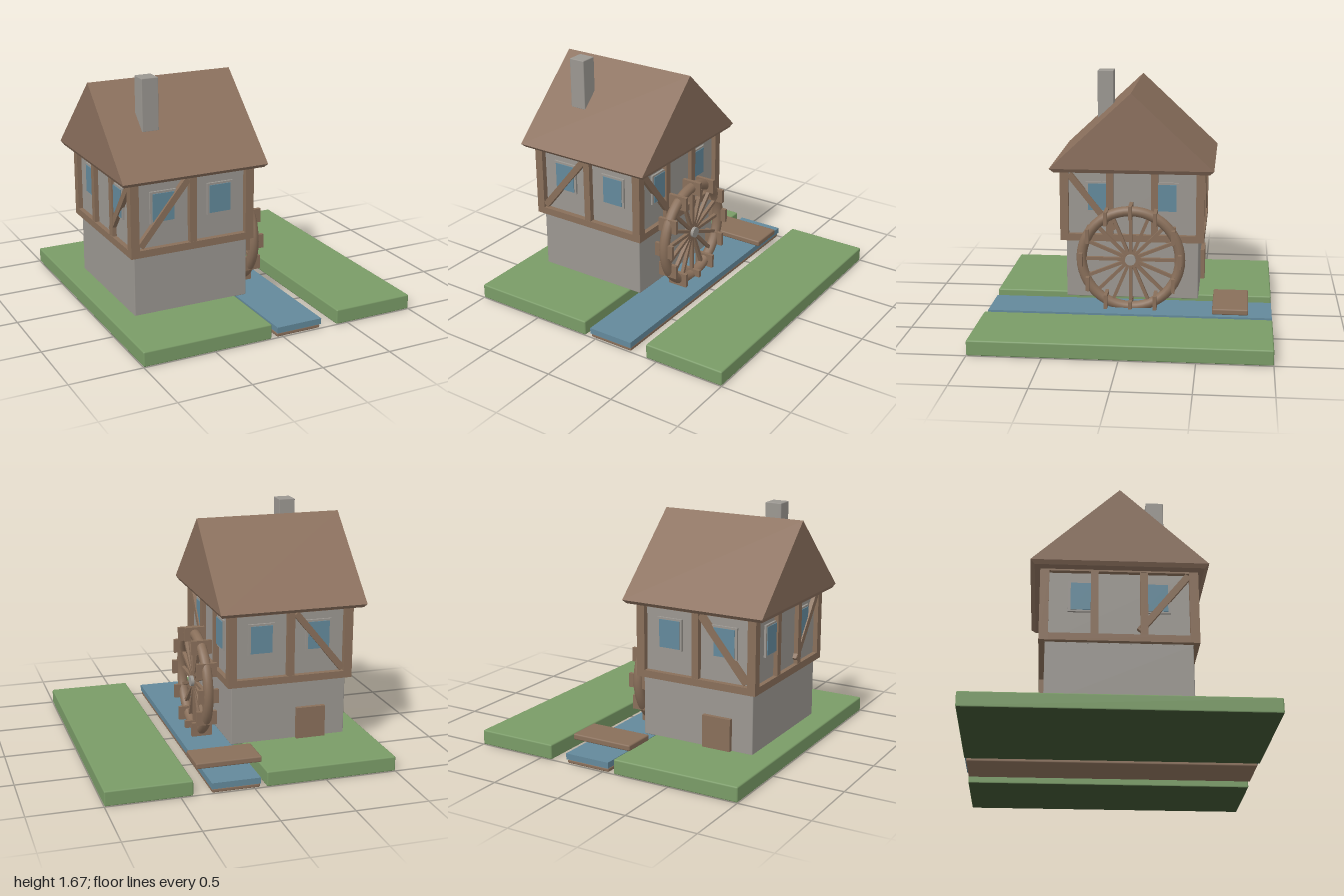
import * as THREE from 'three';
import { RoundedBoxGeometry } from 'three/addons/geometries/RoundedBoxGeometry.js';

const mat = (name, color) => {
  const m = new THREE.MeshStandardMaterial({ color });
  m.name = name;
  return m;
};

export function createModel() {
  const grass = mat('grass', 0x7a9c67);
  const soil = mat('darkUnderside', 0x405333);
  const stone = mat('stone', 0x9b9791);
  const wood = mat('wood', 0x896f5a);
  const roofMat = mat('roof', 0x8b705d);
  const blue = mat('waterBlue', 0x63899b);

  const model = new THREE.Group();
  model.name = 'watermill';

  const add = (parent, name, geometry, material) => {
    const mesh = new THREE.Mesh(geometry, material);
    mesh.name = name;
    parent.add(mesh);
    return mesh;
  };
  // box from its min and max corners, optionally with softened edges
  const box = (parent, name, material, [x0, x1], [y0, y1], [z0, z1], r = 0) => {
    const size = [x1 - x0, y1 - y0, z1 - z0];
    const g = r ? new RoundedBoxGeometry(...size, 1, r) : new THREE.BoxGeometry(...size);
    const mesh = add(parent, name, g, material);
    mesh.position.set((x0 + x1) / 2, (y0 + y1) / 2, (z0 + z1) / 2);
    return mesh;
  };

  // ground and stream; the banks are dark underneath
  const bankFaces = [grass, grass, grass, soil, grass, grass];
  box(model, 'leftBank', bankFaces, [-1, -0.085], [0, 0.105], [-1, 1], 0.01);
  box(model, 'rightBank', bankFaces, [0.415, 1], [0, 0.105], [-1, 1], 0.01);
  box(model, 'streamBed', wood, [-0.04, 0.288], [0, 0.027], [-0.99, 0.99], 0.008);
  box(model, 'water', blue, [-0.042, 0.292], [0.03, 0.072], [-1, 1]);
  box(model, 'footbridge', wood, [-0.105, 0.35], [0.105, 0.147], [-0.835, -0.585], 0.01);

  // house body
  box(model, 'stoneBase', stone, [-0.834, 0], [0.1, 0.525], [-0.475, 0.475], 0.006);
  box(model, 'upperWalls', stone, [-0.834, 0], [0.52, 1.04], [-0.475, 0.475]);
  box(model, 'door', wood, [-0.68, -0.47], [0.1, 0.33], [-0.505, -0.47]);
  for (const x of [-0.837, 0.003]) {
    for (const z of [-0.485, 0.485]) {
      box(model, 'cornerPost', wood, [x - 0.03, x + 0.03], [0.525, 1.04], [z - 0.03, z + 0.03]);
    }
  }

  // timber framing of one wall: local x runs along the wall, local z points outward,
  // face is the distance of the plaster and out that of the timbers
  const wall = (name, angle, half, face, out, posts, windows, [ax, ay], [bx, by]) => {
    const g = new THREE.Group();
    g.name = name;
    g.position.x = -0.417;
    g.rotation.y = angle;
    model.add(g);
    const inner = half - 0.06;
    box(g, 'sillBeam', wood, [-inner, inner], [0.525, 0.575], [out - 0.06, out]);
    box(g, 'topBeam', wood, [-inner, inner], [1.023, 1.045], [out - 0.06, out]);
    for (const x of posts) {
      box(g, 'post', wood, [x - 0.025, x + 0.025], [0.575, 1.03], [out - 0.055, out - 0.002]);
    }
    for (const x of windows) {
      box(g, 'windowFrame', stone, [x - 0.094, x + 0.094], [0.738, 0.957], [face - 0.02, face + 0.015]);
      box(g, 'windowGlass', blue, [x - 0.077, x + 0.077], [0.75, 0.943], [face + 0.013, face + 0.02]);
    }
    const length = Math.hypot(bx - ax, by - ay);
    const brace = add(g, 'brace', new THREE.BoxGeometry(length, 0.045, 0.04), wood);
    brace.position.set((ax + bx) / 2, (ay + by) / 2, out - 0.024);
    brace.rotation.z = Math.atan2(by - ay, bx - ax);
  };
  wall('frontWall', 0, 0.45, 0.475, 0.515, [0], [-0.207, 0.207], [-0.38, 0.595], [-0.035, 1.015]);
  wall('backWall', Math.PI, 0.45, 0.475, 0.515, [0], [-0.207, 0.207], [0.38, 0.595], [0.035, 1.015]);
  wall('leftWall', Math.PI / 2, 0.515, 0.417, 0.45, [-0.16, 0.16], [-0.238, 0.238], [-0.45, 1.01], [-0.13, 0.605]);
  wall('rightWall', -Math.PI / 2, 0.515, 0.417, 0.45, [-0.16, 0.16], [-0.238, 0.238], [0.45, 1.01], [0.13, 0.605]);

  // gabled roof, extruded along x, over a soffit that tapers downward
  const gable = new THREE.Shape([[-0.58, 1.062], [0.58, 1.062], [0, 1.605]].map((p) => new THREE.Vector2(...p)));
  const roofGeo = new THREE.ExtrudeGeometry(gable, { depth: 1.045, bevelEnabled: false });
  roofGeo.rotateY(Math.PI / 2);
  add(model, 'roof', roofGeo, roofMat).position.x = -0.94;
  const soffit = box(model, 'soffit', roofMat, [-0.94, 0.105], [1.035, 1.062], [-0.58, 0.58]);
  const pos = soffit.geometry.attributes.position;
  for (let i = 0; i < pos.count; i++) {
    if (pos.getY(i) < 0) pos.setXYZ(i, pos.getX(i) * 0.97, pos.getY(i), pos.getZ(i) * 0.95);
  }
  soffit.geometry.computeVertexNormals();
  box(model, 'chimney', stone, [-0.687, -0.567], [1.31, 1.67], [0.192, 0.312], 0.006);

  // water wheel, turning about the x axis
  const wheel = new THREE.Group();
  wheel.name = 'waterWheel';
  wheel.position.set(0.125, 0.425, 0);
  model.add(wheel);
  add(wheel, 'rim', new THREE.TorusGeometry(0.35, 0.037, 12, 48), wood).rotation.y = Math.PI / 2;
  const hub = add(wheel, 'hub', new THREE.CylinderGeometry(0.038, 0.038, 0.07, 20), stone);
  hub.rotation.z = Math.PI / 2;
  for (let i = 0; i < 16; i++) {
    const a = (i / 16) * Math.PI * 2;
    const spoke = add(wheel, 'spoke', new THREE.BoxGeometry(0.025, 0.33, 0.023), wood);
    spoke.position.set(0, Math.cos(a) * 0.175, Math.sin(a) * 0.175);
    spoke.rotation.x = a;
  }
  // paddles stay upright all the way round
  for (let i = 0; i < 12; i++) {
    const a = (i / 12) * Math.PI * 2;
    const paddle = add(wheel, 'paddle', new THREE.BoxGeometry(0.145, 0.1, 0.025), wood);
    paddle.position.set(0, Math.cos(a) * 0.35, Math.sin(a) * 0.35);
  }
  return model;
}
